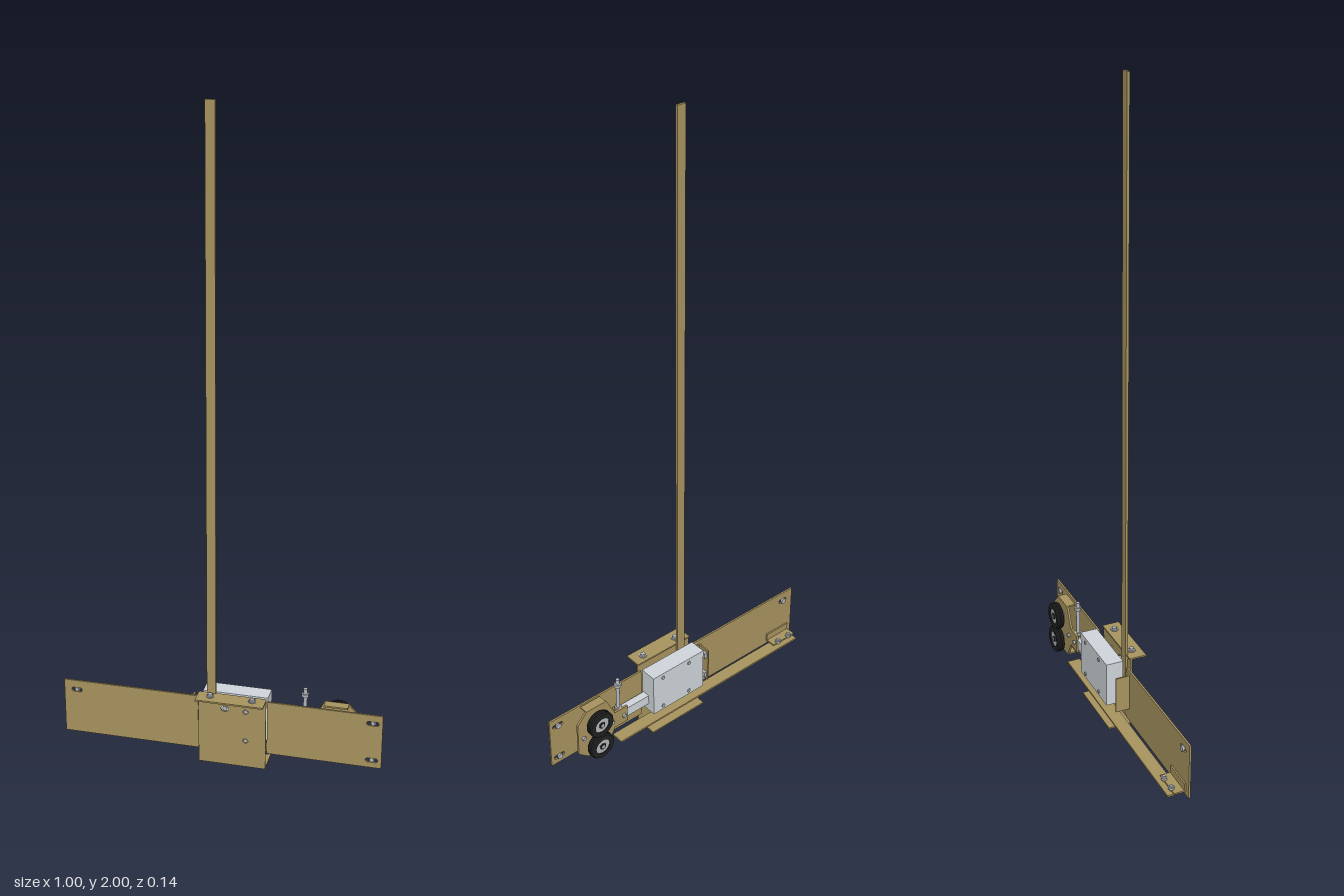
import * as THREE from 'three';

const mat = (color) => new THREE.MeshStandardMaterial({ color });
const tan = mat(0xa8945f), grey = mat(0xcfd5da), steel = mat(0xb4b8bc), black = mat(0x222222);

export function createModel() {
  const root = new THREE.Group();

  const add = (name, geometry, material, x = 0, y = 0, z = 0) => {
    const mesh = new THREE.Mesh(geometry, material);
    mesh.name = name;
    mesh.position.set(x, y, z);
    root.add(mesh);
    return mesh;
  };

  // Box given by its limits along each axis
  const slab = (name, material, [x0, x1], [y0, y1], [z0, z1]) =>
    add(name, new THREE.BoxGeometry(x1 - x0, y1 - y0, z1 - z0), material,
      (x0 + x1) / 2, (y0 + y1) / 2, (z0 + z1) / 2);

  // Sheet in the x-y plane with slotted holes [x, y, halfLength, radius]
  const sheet = (name, points, holes, z0, z1) => {
    const shape = new THREE.Shape(points.map(([x, y]) => new THREE.Vector2(x, y)));
    for (const [x, y, half, r] of holes) {
      const hole = new THREE.Path();
      hole.absarc(x + half, y, r, -Math.PI / 2, Math.PI / 2, false);
      hole.absarc(x - half, y, r, Math.PI / 2, Math.PI * 1.5, false);
      shape.holes.push(hole);
    }
    const geo = new THREE.ExtrudeGeometry(shape, { depth: z1 - z0, bevelEnabled: false, curveSegments: 8 });
    return add(name, geo, tan, 0, 0, z0);
  };
  const rect = (x0, x1, y0, y1) => [[x0, y0], [x1, y0], [x1, y1], [x0, y1]];

  // Cylinder along y or z; six sides give a hex head
  const rod = (name, material, axis, r, length, x, y, z, sides = 20) => {
    const geo = new THREE.CylinderGeometry(r, r, length, sides);
    if (axis === 'z') geo.rotateX(Math.PI / 2);
    return add(name, geo, material, x, y, z);
  };

  // Two face plates
  sheet('rightFacePlate', rect(-0.5, -0.068, 0.035, 0.215), [[-0.46, 0.183, 0.01, 0.007]], 0, 0.006);
  sheet('leftFacePlate', rect(0.148, 0.5, 0.045, 0.223),
    [[0.47, 0.195, 0.012, 0.007], [0.47, 0.07, 0.012, 0.007]], 0, 0.006);
  for (const [x, y] of [[-0.46, 0.183], [0.47, 0.195], [0.47, 0.07]]) {
    rod('plateBolt', steel, 'z', 0.006, 0.01, x, y, 0);
    rod('plateNut', steel, 'z', 0.01, 0.006, x, y, -0.003, 6);
  }

  // Central cover, its top flange to the front and bottom flange to the back
  sheet('coverPlate', rect(-0.062, 0.148, 0, 0.238),
    [[0.02, 0.193, 0.003, 0.009], [0.085, 0.19, 0, 0.008], [0.085, 0.09, 0, 0.008]], 0.019, 0.024);
  slab('coverTopFlange', tan, [-0.062, 0.148], [0.233, 0.238], [0.015, 0.07]);
  slab('coverBottomFlange', tan, [-0.062, 0.148], [0, 0.005], [-0.055, 0.022]);
  for (const x of [-0.021, 0.109]) {
    rod('flangeWasher', steel, 'y', 0.012, 0.003, x, 0.2395, 0.039);
    rod('flangeBolt', steel, 'y', 0.008, 0.009, x, 0.243, 0.039, 6);
  }
  for (const y of [0.09, 0.19]) rod('coverBolt', steel, 'z', 0.006, 0.03, 0.085, y, 0.008);
  rod('coverBolt', steel, 'z', 0.007, 0.03, 0.02, 0.193, 0.008);

  // Tall upright strip
  slab('uprightStrip', tan, [-0.037, -0.009], [0.1, 2], [0.011, 0.019]);

  // Lock case with screws on its back
  slab('lockCase', grey, [-0.055, 0.148], [0.085, 0.231], [-0.06, -0.005]);
  for (const [x, y] of [[0.005, 0.215], [0.11, 0.215], [0.005, 0.1], [0.11, 0.1]])
    rod('caseScrew', steel, 'z', 0.006, 0.004, x, y, -0.061);

  // Side bracket beside the case
  slab('sideBracket', tan, [-0.093, -0.088], [0.08, 0.2], [-0.045, 0]);
  slab('sideBracketFoot', tan, [-0.093, -0.069], [0.08, 0.2], [-0.004, 0]);
  for (const y of [0.1, 0.18]) slab('sideBracketClip', steel, [-0.088, -0.079], [y - 0.01, y + 0.01], [-0.04, -0.015]);
  for (const y of [0.05, 0.11, 0.175]) slab('edgeTab', steel, [-0.068, -0.06], [y - 0.008, y + 0.008], [0, 0.006]);

  // Long bottom rail and the angle that carries its end
  slab('bottomRail', tan, [-0.477, 0.275], [0.04, 0.046], [-0.055, -0.013]);
  slab('railAngleFlange', tan, [-0.483, -0.39], [0.047, 0.052], [-0.037, 0]);
  slab('railAngleWeb', tan, [-0.483, -0.39], [0.047, 0.075], [-0.005, 0]);
  for (const x of [-0.459, -0.412]) {
    rod('railBolt', steel, 'y', 0.005, 0.028, x, 0.05, -0.035);
    rod('railNut', steel, 'y', 0.01, 0.007, x, 0.056, -0.035, 6);
  }

  // Sliding arm and its vertical adjusting bolt
  slab('slidingArm', grey, [0.148, 0.28], [0.112, 0.145], [-0.035, -0.01]);
  slab('armBlock', tan, [0.245, 0.272], [0.106, 0.151], [-0.037, -0.009]);
  rod('adjustingBolt', steel, 'y', 0.006, 0.13, 0.259, 0.205, -0.023);
  for (const y of [0.155, 0.248]) rod('adjustingNut', steel, 'y', 0.012, 0.01, 0.259, y, -0.023, 6);

  // Wheel carrier: shaped plate with flanges bent forward
  sheet('wheelPlate', [[0.235, 0.1], [0.285, 0.1], [0.315, 0.045], [0.39, 0.045], [0.425, 0.075],
    [0.425, 0.19], [0.39, 0.227], [0.315, 0.227], [0.285, 0.16], [0.235, 0.16]], [], -0.039, -0.032);
  for (const y of [0.042, 0.222]) slab('wheelPlateFlange', tan, [0.318, 0.391], [y, y + 0.005], [-0.036, -0.009]);
  for (const [x, y] of [[0.297, 0.13], [0.405, 0.13], [0.25, 0.13]])
    rod('carrierBolt', steel, 'z', 0.007, 0.016, x, y, -0.038, 6);

  // Wheels: grooved tyre, hub and axle
  const tyre = new THREE.LatheGeometry([[0.026, -0.012], [0.041, -0.012], [0.044, -0.008], [0.044, -0.003], [0.041, 0],
    [0.044, 0.003], [0.044, 0.008], [0.041, 0.012], [0.026, 0.012], [0.026, -0.012]]
    .map(([r, h]) => new THREE.Vector2(r, h)), 32).toNonIndexed();
  tyre.computeVertexNormals();
  tyre.rotateX(Math.PI / 2);
  for (const y of [0.089, 0.176]) {
    add('tyre', tyre, black, 0.357, y, -0.06);
    rod('wheelHub', steel, 'z', 0.0265, 0.017, 0.357, y, -0.06, 28);
    rod('wheelSpacer', steel, 'z', 0.018, 0.012, 0.357, y, -0.045);
    rod('axleNut', black, 'z', 0.011, 0.024, 0.357, y, -0.06, 6);
    rod('axle', steel, 'z', 0.006, 0.046, 0.357, y, -0.05);
  }
  return root;
}
